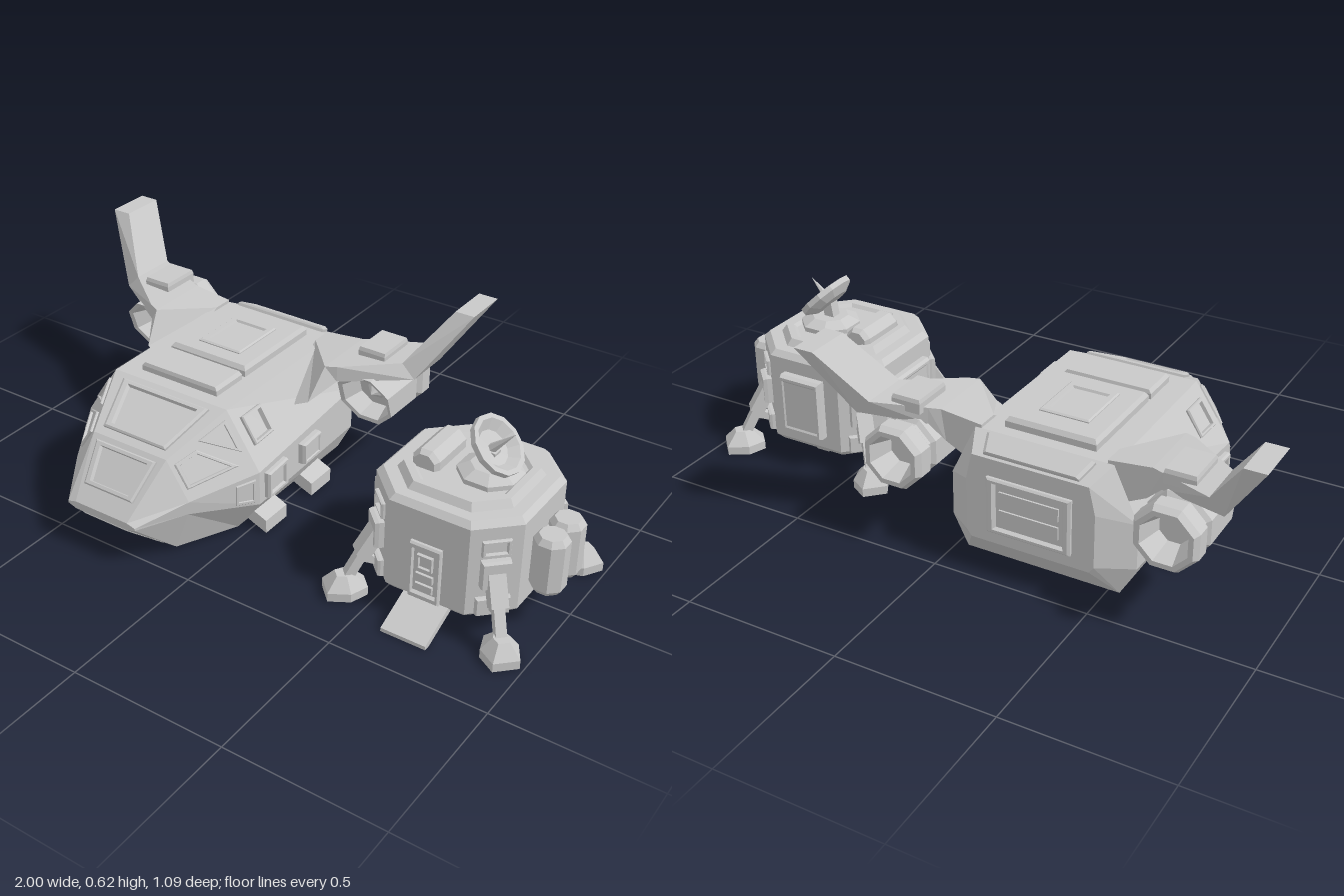
import * as THREE from 'three';

const V = (x, y, z) => new THREE.Vector3(x, y, z);
const grey = new THREE.MeshStandardMaterial({ color: 0xc8c8c8 });
grey.name = 'plain grey';

// Adds a faceted mesh to a parent
function add(parent, name, geo) {
  const flat = geo.index ? geo.toNonIndexed() : geo;
  flat.computeVertexNormals();
  const mesh = new THREE.Mesh(flat, grey);
  mesh.name = name;
  parent.add(mesh);
  return mesh;
}

// Closed, capped skin over rings of points, wound so that it faces outward
function loft(rings) {
  const tris = [], n = rings[0].length, last = rings[rings.length - 1];
  for (let i = 0; i + 1 < rings.length; i++) for (let j = 0; j < n; j++) {
    const k = (j + 1) % n, a = rings[i], b = rings[i + 1];
    tris.push([a[j], a[k], b[k]], [a[j], b[k], b[j]]);
  }
  for (let j = 1; j + 1 < n; j++) {
    tris.push([rings[0][0], rings[0][j + 1], rings[0][j]], [last[0], last[j], last[j + 1]]);
  }
  const o = rings[0][0];
  let volume = 0;
  for (const [a, b, c] of tris) {
    volume += a.clone().sub(o).dot(b.clone().sub(o).cross(c.clone().sub(o)));
  }
  const points = tris.flatMap(([a, b, c]) => (volume < 0 ? [a, c, b] : [a, b, c]));
  return new THREE.BufferGeometry().setFromPoints(points);
}

// Raised frame with bevelled rim and a recessed centre, lying on any flat outline
function framed(parent, name, corners, h = 0.012, rim = 0.2, recess = 0.01) {
  const c = corners.reduce((s, p) => s.add(p), V(0, 0, 0)).divideScalar(corners.length);
  const n = corners[1].clone().sub(corners[0]).cross(corners[2].clone().sub(corners[0])).normalize();
  if (n.dot(c.clone().sub(V(0, 0.2, 0))) < 0) n.negate();
  const ring = (inset, lift) => corners.map((p) => p.clone().lerp(c, inset).addScaledVector(n, lift));
  return add(parent, name, loft([ring(0, -0.015), ring(0, h * 0.6), ring(0.06, h), ring(rim, h), ring(rim + 0.06, h - recess)]));
}

// Rectangles on a plane of constant z or constant y
const rectZ = (x0, x1, y0, y1, z) => [V(x0, y0, z), V(x1, y0, z), V(x1, y1, z), V(x0, y1, z)];
const rectY = (x0, x1, z0, z1, y) => [V(x0, y, z0), V(x1, y, z0), V(x1, y, z1), V(x0, y, z1)];

// Eight-sided turned shape from [radius across flats, height] pairs
function turned(profile) {
  const k = 1 / Math.cos(Math.PI / 8);
  return new THREE.LatheGeometry(profile.map(([r, y]) => new THREE.Vector2(r * k, y)), 8).rotateY(Math.PI / 8);
}

function strut(parent, name, a, b, w, d) {
  const m = add(parent, name, new THREE.BoxGeometry(w, a.distanceTo(b), d));
  m.position.copy(a).lerp(b, 0.5);
  m.quaternion.setFromUnitVectors(V(0, 1, 0), b.clone().sub(a).normalize());
}

// Engine along -z, with its intake lip raked back towards the bottom
function engineGeometry() {
  const geo = turned([
    [0, 0.04], [0.03, 0.075], [0.06, 0.075], [0.08, 0.005], [0.093, 0], [0.094, 0.165], [0.082, 0.175],
    [0.082, 0.185], [0.096, 0.2], [0.096, 0.245], [0.085, 0.265], [0.07, 0.265], [0.045, 0.19], [0, 0.19],
  ]).rotateX(-Math.PI / 2);
  const p = geo.attributes.position;
  for (let i = 0; i < p.count; i++) {
    if (p.getZ(i) > -0.1) p.setZ(i, p.getZ(i) + p.getY(i) * 0.33);
  }
  return geo;
}

function buildShuttle() {
  const ship = new THREE.Group();
  ship.name = 'shuttle';

  // Hull sections: z, then half-width and height of floor, low side, high side and roof corners
  const rings = [
    [-0.45, 0.19, 0.10, 0.205, 0.12, 0.205, 0.29, 0.185, 0.375],
    [-0.37, 0.25, 0.003, 0.3, 0.1, 0.3, 0.245, 0.22, 0.415],
    [0.20, 0.25, 0.003, 0.335, 0.12, 0.335, 0.235, 0.215, 0.415],
    [0.40, 0.165, 0.01, 0.215, 0.15, 0.22, 0.195, 0.14, 0.315],
    [0.546, 0.10, 0.13, 0.13, 0.14, 0.13, 0.147, 0.10, 0.155],
  ].map(([z, ...p]) => {
    const half = [0, 2, 4, 6].map((i) => V(p[i], p[i + 1], z));
    return [...half, ...half.map((q) => V(-q.x, q.y, z)).reverse()];
  });
  add(ship, 'hull', loft(rings));

  // Panel on hull strip j after section i, corners in (u along, v across)
  const onHull = (name, i, j, uv, ...opts) => framed(ship, name, uv.map(([u, v]) =>
    rings[i][j].clone().lerp(rings[i + 1][j], u).lerp(
      rings[i][(j + 1) % 8].clone().lerp(rings[i + 1][(j + 1) % 8], u), v)), ...opts);
  const box = (u0, u1, v0, v1) => [[u0, v0], [u1, v0], [u1, v1], [u0, v1]];

  onHull('windshield', 2, 3, box(0.1, 0.88, 0.1, 0.9), 0.012, 0.18, 0.018);
  onHull('lowerWindshield', 3, 3, box(0.08, 0.72, 0.08, 0.92), 0.012, 0.2, 0.018);
  onHull('chinPanel', 3, 7, box(0.08, 0.88, 0.1, 0.9), 0.005, 0.15, 0.01);
  for (const right of [false, true]) {
    const j = (k) => (right ? 6 - k : k);
    const flip = (uv) => uv.map(([u, v]) => [u, right ? 1 - v : v]);
    onHull('upperSideWindow', 2, j(2), flip([[0.08, 0.9], [0.08, 0.38], [0.52, 0.9]]), 0.008, 0.25, 0.015);
    onHull('lowerSideWindow', 2, j(2), flip([[0.2, 0.22], [0.6, 0.8], [0.94, 0.82], [0.94, 0.25]]), 0.008, 0.2, 0.015);
    onHull('noseHatch', 2, j(1), flip(box(0.06, 0.34, 0.1, 0.85)), 0.006, 0.25, 0.018);
    onHull('sideHatch', 1, j(1), flip(box(0.76, 0.95, 0.1, 0.85)), 0.02, 0.25, 0.01);
    onHull('sideBox', 1, j(1), flip(box(0.42, 0.6, 0.25, 0.8)), 0.025, 0.2, 0.004);
    onHull('shoulderWindow', 1, j(2), flip(box(0.77, 0.94, 0.35, 0.8)), 0.012, 0.2, 0.015);
  }

  // Roof and rear panels
  framed(ship, 'roofPanel', rectY(-0.145, 0.145, -0.33, 0.01, 0.415), 0.033, 0.1, 0);
  framed(ship, 'roofHatch', rectY(-0.08, 0.08, -0.25, -0.05, 0.445), 0.01, 0.25, 0.01);
  framed(ship, 'frontRoofPanel', rectY(-0.145, 0.145, 0.025, 0.155, 0.415), 0.028, 0.12, 0);
  onHull('rearRoofPanel', 0, 3, box(0.1, 0.85, 0.1, 0.9), 0.015, 0.15, 0);
  framed(ship, 'rearDoor', rectZ(-0.135, 0.135, 0.14, 0.32, -0.45), 0.014, 0.15, 0.012);
  for (const y of [0.2, 0.26]) {
    add(ship, 'rearDoorSlat', new THREE.BoxGeometry(0.19, 0.04, 0.02)).position.set(0, y, -0.448);
  }

  for (const s of [-1, 1]) {
    // Wing sections: x, y and front z of the top and of the bottom, then back z
    add(ship, 'wing', loft([
      [0.2, 0.425, -0.3, 0.2, 0.28, -0.08, -0.37],
      [0.335, 0.44, -0.15, 0.32, 0.34, -0.08, -0.37],
      [0.37, 0.442, -0.165, 0.37, 0.39, -0.165, -0.385],
      [0.53, 0.45, -0.29, 0.575, 0.405, -0.29, -0.45],
      [0.648, 0.62, -0.395, 0.713, 0.62, -0.395, -0.545],
    ].map(([a, top, f, b, low, g, r]) => [V(s * a, top, f), V(s * b, low, g), V(s * b, low, r), V(s * a, top, r)])));
    framed(ship, 'wingBox', rectY(s * 0.43 - 0.048, s * 0.43 + 0.048, -0.41, -0.27, 0.442), 0.03, 0.3, 0);

    // Engine with open intake and nozzle
    add(ship, 'engine', engineGeometry()).position.set(s * 0.43, 0.31, -0.235);

    // Splayed landing skids
    for (const z of [-0.13, 0.12]) {
      const profile = [[0.2, 0.06], [0.27, 0.075], [0.34, 0.045], [0.34, 0], [0.29, 0.02]];
      add(ship, 'landingSkid', loft([z - 0.055, z + 0.055].map((e) => profile.map(([x, y]) => V(s * x, y, e)))));
    }
  }
  return ship;
}

function buildLander() {
  const lander = new THREE.Group();
  lander.name = 'lander';

  // Eight-sided cabin: a is the distance to the flats
  const oct = (a, y) => {
    const f = a * 0.54;
    return [[a, f], [f, a], [-f, a], [-a, f], [-a, -f], [-f, -a], [f, -a], [a, -f]].map(([x, z]) => V(x, y, z));
  };
  add(lander, 'cabin', loft([
    oct(0.17, 0.035), oct(0.215, 0.055), oct(0.237, 0.078), oct(0.237, 0.365), oct(0.22, 0.383),
    oct(0.185, 0.383), oct(0.17, 0.405), oct(0.15, 0.405), oct(0.14, 0.395)]));

  // Cluster of seven thrusters underneath
  for (let i = 0; i < 7; i++) {
    const a = i * Math.PI / 3, r = i < 6 ? 0.115 : 0;
    add(lander, 'thruster', turned([[0, 0.025], [0.035, 0.02], [0.05, 0.015], [0.057, 0.025], [0.05, 0.06]]))
      .position.set(r * Math.sin(a), 0, r * Math.cos(a));
  }

  // Door, its windows and the ramp
  framed(lander, 'door', rectZ(-0.05, 0.05, 0.075, 0.265, 0.237), 0.014, 0.18, 0.01);
  framed(lander, 'doorWindow', rectZ(-0.025, 0.025, 0.18, 0.23, 0.241), 0.01, 0.25, 0.008);
  for (const y of [0.105, 0.14]) framed(lander, 'doorPanel', rectZ(-0.028, 0.028, y, y + 0.025, 0.241), 0.008, 0.2, 0);
  add(lander, 'ramp', loft([-0.073, 0.073].map((x) =>
    [V(x, 0.075, 0.21), V(x, 0.012, 0.35), V(x, 0, 0.35), V(x, 0, 0.33), V(x, 0.05, 0.21)])));

  // Side and rear panels
  framed(lander, 'rearPanel', rectZ(-0.075, 0.075, 0.12, 0.32, -0.237), 0.035, 0.15, 0.004);
  framed(lander, 'sidePanel', [V(-0.237, 0.13, -0.09), V(-0.237, 0.13, 0.09), V(-0.237, 0.31, 0.09), V(-0.237, 0.31, -0.09)], 0.03, 0.15, 0.004);

  // Tank pair
  add(lander, 'tankBracket', new THREE.BoxGeometry(0.06, 0.12, 0.13)).position.set(0.25, 0.215, 0);
  for (const z of [-0.049, 0.049]) {
    add(lander, 'tank', turned([[0, 0.122], [0.036, 0.122], [0.049, 0.14], [0.049, 0.29], [0.036, 0.308], [0, 0.308]]))
      .position.set(0.286, 0, z);
  }

  // Diagonal faces: window, leg mount, leg and foot, built facing +z
  for (let i = 0; i < 4; i++) {
    const corner = new THREE.Group();
    corner.name = 'legCorner';
    corner.rotation.y = Math.PI / 4 + i * Math.PI / 2;
    lander.add(corner);
    framed(corner, 'cornerWindow', rectZ(-0.042, 0.042, 0.275, 0.325, 0.256), 0.014, 0.22, 0.012);
    framed(corner, 'legMount', rectZ(-0.042, 0.042, 0.175, 0.262, 0.256), 0.03, 0.2, 0);
    framed(corner, 'lowerMount', rectZ(-0.05, 0.05, 0.08, 0.135, 0.256), 0.02, 0.2, 0);
    strut(corner, 'upperLeg', V(0, 0.22, 0.265), V(0, 0.135, 0.315), 0.05, 0.045);
    strut(corner, 'lowerLeg', V(0, 0.15, 0.305), V(0, 0.045, 0.36), 0.032, 0.03);
    strut(corner, 'brace', V(0, 0.1, 0.25), V(0, 0.125, 0.315), 0.025, 0.025);
    // Six-sided foot, pointed towards the cabin
    add(corner, 'foot', loft([[0.056, 0], [0.056, 0.028], [0.024, 0.07]].map(([r, y]) =>
      [[-0.5, -1.2], [0.5, -1.2], [1, -0.2], [0.7, 1], [-0.7, 1], [-1, -0.2]].map(([x, z]) => V(x * r, y, 0.364 + z * r)))));
  }

  // Roof canister
  const canister = add(lander, 'roofCanister', turned([
    [0, -0.092], [0.034, -0.092], [0.044, -0.075], [0.044, 0.075], [0.034, 0.092], [0, 0.092]]).rotateX(Math.PI / 2));
  canister.position.set(-0.108, 0.405, -0.005);

  // Tilted dish on a pedestal
  add(lander, 'dishBase', turned([[0, 0.38], [0.09, 0.38], [0.09, 0.41], [0.055, 0.43], [0, 0.43]])).position.x = 0.06;
  strut(lander, 'dishMast', V(0.05, 0.41, 0), V(0.06, 0.475, 0), 0.035, 0.035);
  const dish = new THREE.Group();
  dish.name = 'dish';
  dish.position.set(0.067, 0.487, 0);
  dish.rotation.z = -Math.PI / 4;
  lander.add(dish);
  add(dish, 'dishBowl', new THREE.LatheGeometry([[0, -0.025], [0.06, -0.02], [0.095, 0], [0.095, 0.018],
    [0.08, 0.018], [0.055, -0.008], [0, -0.014]].map(([r, y]) => new THREE.Vector2(r, y)), 12));
  add(dish, 'dishAntenna', new THREE.ConeGeometry(0.016, 0.1, 6)).position.y = 0.035;
  return lander;
}

export function createModel() {
  const model = new THREE.Group();
  model.name = 'shuttleAndLander';
  const ship = buildShuttle(), lander = buildLander();
  ship.position.x = -0.287;
  lander.position.set(0.664, 0, 0.025);
  model.add(ship, lander);
  return model;
}
